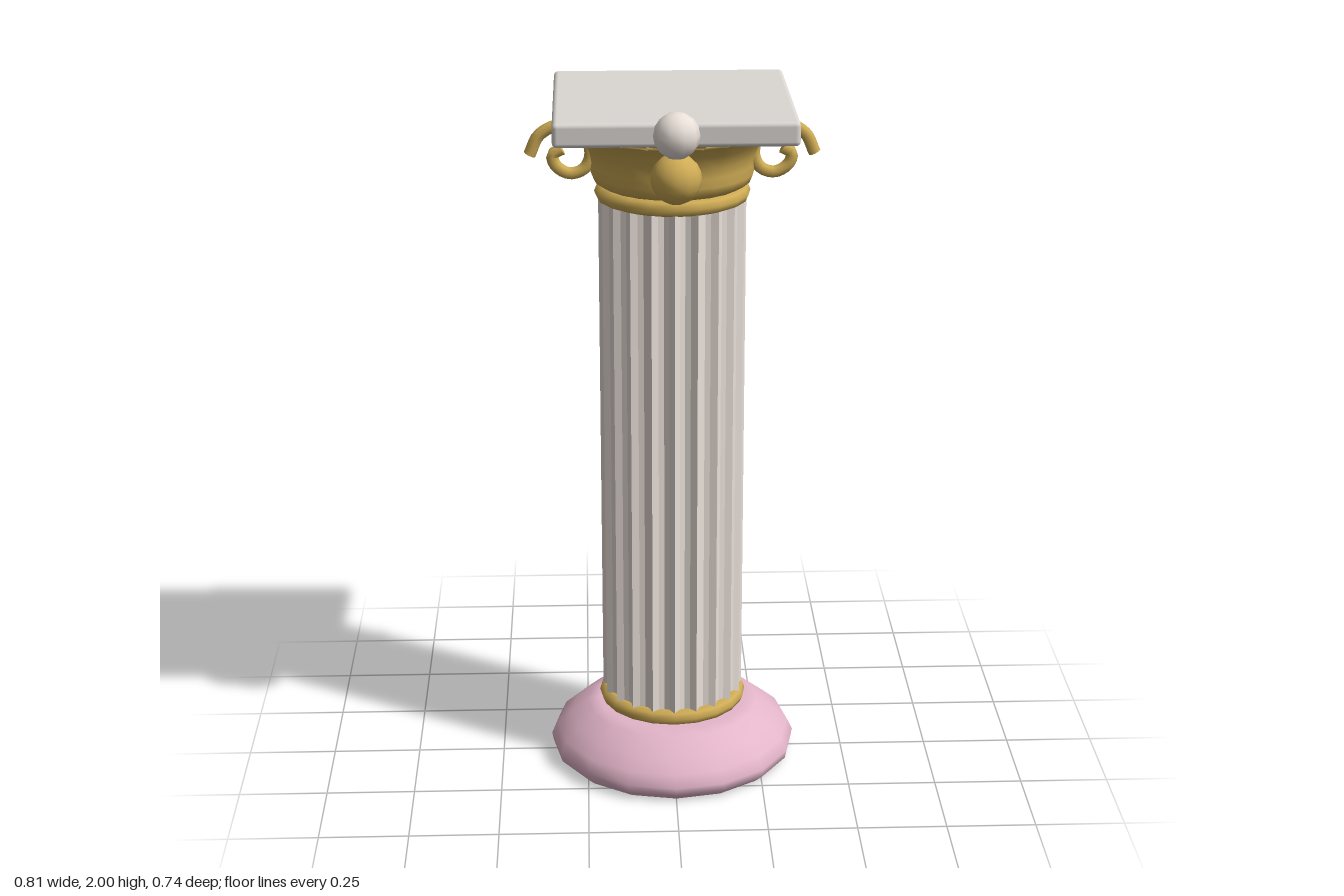
import * as THREE from 'three';
import { RoundedBoxGeometry } from 'three/addons/geometries/RoundedBoxGeometry.js';

const mat = (color, extra = {}) => new THREE.MeshStandardMaterial({ color, ...extra });
const v2 = (pts) => pts.map(([x, y]) => new THREE.Vector2(x, y));

export function createModel() {
  const model = new THREE.Group();
  model.name = 'column';
  const body = new THREE.Group();
  body.name = 'columnBody';
  body.position.z = -0.013;
  model.add(body);

  const pink = mat(0xe3b5c9), gold = mat(0xcfac55), slab = mat(0xdbd7d3), cream = mat(0xeae0d9);
  const add = (name, geometry, material, x = 0, y = 0, z = 0) => {
    const mesh = new THREE.Mesh(geometry, material);
    mesh.name = name;
    mesh.position.set(x, y, z);
    body.add(mesh);
    return mesh;
  };

  // Cushion-shaped foot with a flat underside
  add('base', new THREE.LatheGeometry(v2([
    [0.33, 0.005], [0.352, 0.025], [0.357, 0.05], [0.34, 0.085],
    [0.3, 0.12], [0.25, 0.157], [0.215, 0.168], [0, 0.17],
  ]), 16), pink);
  add('baseUnderside', new THREE.CircleGeometry(0.33, 16).rotateX(Math.PI / 2), pink, 0, 0.005);

  // Fluted shaft: narrow crests between scooped grooves
  const flutes = 20, steps = 4, outline = [];
  for (let i = 0; i < flutes * steps; i++) {
    const a = (i / (flutes * steps)) * Math.PI * 2;
    const r = 0.203 - 0.02 * Math.sin(((i % steps) / steps) * Math.PI);
    outline.push(new THREE.Vector2(r * Math.cos(a), r * Math.sin(a)));
  }
  const shaft = new THREE.ExtrudeGeometry(new THREE.Shape(outline), { depth: 1.54, bevelEnabled: false });
  add('shaft', shaft.rotateX(-Math.PI / 2), cream, 0, 0.18);

  // Gold collars
  const ring = (name, y, radius, tube) =>
    add(name, new THREE.TorusGeometry(radius, tube, 8, 20).rotateX(Math.PI / 2), gold, 0, y);
  ring('lowerCollar', 0.193, 0.19, 0.023);
  ring('upperCollar', 1.708, 0.19, 0.024);

  // Flared capital
  add('capital', new THREE.LatheGeometry(v2([
    [0, 1.725], [0.19, 1.727], [0.215, 1.742], [0.224, 1.765], [0.222, 1.79],
    [0.228, 1.82], [0.245, 1.855], [0.275, 1.885], [0.31, 1.903], [0, 1.906],
  ]), 24), gold);

  // Scroll on each side
  const scrollPts = [
    [0.388, 1.81], [0.36, 1.865], [0.3, 1.892], [0.24, 1.865], [0.222, 1.81],
    [0.24, 1.77], [0.28, 1.757], [0.318, 1.78], [0.325, 1.81], [0.3, 1.825],
  ];
  for (const [name, s] of [['leftScroll', 1], ['rightScroll', -1]]) {
    const path = new THREE.CatmullRomCurve3(scrollPts.map(([x, y]) => new THREE.Vector3(s * x, y, 0)));
    add(name, new THREE.TubeGeometry(path, 36, 0.017, 8), gold);
    // Closed tube ends
    for (const t of [0, 1]) {
      const cap = add(name + 'End', new THREE.CircleGeometry(0.017, 8), gold);
      const end = path.getPoint(t);
      cap.position.copy(end);
      cap.lookAt(end.clone().addScaledVector(path.getTangent(t), t ? 1 : -1));
    }
  }

  // Gold balls on the front and back of the capital
  for (const [name, s] of [['frontBall', 1], ['backBall', -1]])
    add(name, new THREE.SphereGeometry(0.068, 12, 10), gold, 0, 1.815, s * 0.288);

  // Square top slab with softened edges
  add('topSlab', new RoundedBoxGeometry(0.644, 0.066, 0.644, 2, 0.013), slab, 0, 1.938);

  // Small pale ball on the front edge of the slab
  add('edgeBall', new THREE.SphereGeometry(0.062, 10, 8), cream, 0, 1.938, 0.32);

  return model;
}
